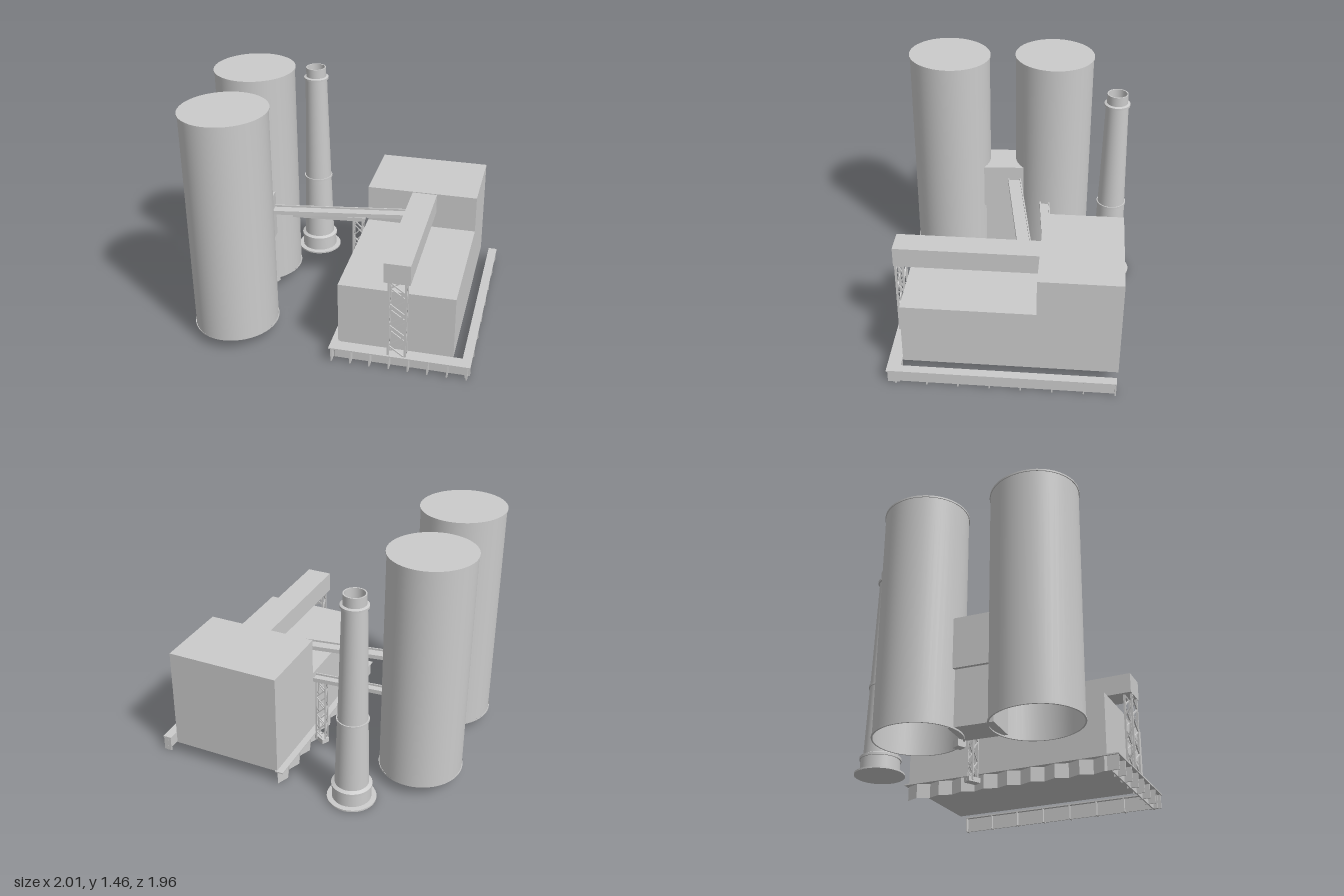
import * as THREE from 'three';

const mat = new THREE.MeshStandardMaterial({ color: 0xcccccc });
const thin = new THREE.MeshStandardMaterial({ color: 0xcccccc, side: THREE.DoubleSide });

function add(parent, name, geo, material = mat) {
  const m = new THREE.Mesh(geo, material);
  m.name = name;
  parent.add(m);
  return m;
}

// Box given by its minimum and maximum corners
function box(parent, name, x0, x1, y0, y1, z0, z1) {
  const m = add(parent, name, new THREE.BoxGeometry(x1 - x0, y1 - y0, z1 - z0));
  m.position.set((x0 + x1) / 2, (y0 + y1) / 2, (z0 + z1) / 2);
  return m;
}

// Square bar between two points
function bar(parent, name, a, b, t) {
  const p = new THREE.Vector3(...a), q = new THREE.Vector3(...b);
  const m = add(parent, name, new THREE.BoxGeometry(t, t, p.distanceTo(q)));
  m.position.copy(p).add(q).multiplyScalar(0.5);
  m.lookAt(q);
  return m;
}

// Lattice tower: four legs with zigzag bracing on each face
function latticeTower(name, w, d, y0, y1, bays, t) {
  const g = new THREE.Group();
  g.name = name;
  const c = [[-w / 2, -d / 2], [w / 2, -d / 2], [w / 2, d / 2], [-w / 2, d / 2]];
  const h = (y1 - y0) / bays;
  c.forEach(([x, z], i) => {
    const [x2, z2] = c[(i + 1) % 4];
    bar(g, 'towerLeg', [x, y0, z], [x, y1, z], t);
    for (let k = 0; k < bays; k++) {
      const a = y0 + k * h, b = a + h;
      bar(g, 'towerBrace', [x, k % 2 ? b : a, z], [x2, k % 2 ? a : b, z2], t * 0.65);
    }
  });
  return g;
}

// Storage silo: shell open below, with a flat lid and a rim at each end
function silo(x, z, rx, rz) {
  const g = new THREE.Group();
  g.name = 'silo';
  const y0 = 0.075, y1 = 1.455;
  const shell = add(g, 'siloShell', new THREE.CylinderGeometry(1, 1, y1 - y0, 48, 1, true), thin);
  shell.position.y = (y0 + y1) / 2;
  const lid = add(g, 'siloLid', new THREE.CircleGeometry(1.02, 48).rotateX(-Math.PI / 2), thin);
  lid.position.y = y1 + 0.005;
  for (const y of [y0, y1]) {
    const rim = add(g, 'siloRim', new THREE.CylinderGeometry(1.02, 1.02, 0.01, 48, 1, true), thin);
    rim.position.y = y;
    const ring = add(g, 'siloRimFace', new THREE.RingGeometry(0.985, 1.02, 48).rotateX(-Math.PI / 2), thin);
    ring.position.y = y - 0.005;
  }
  g.scale.set(rx / 1.02, 1, rz / 1.02);
  g.position.set(x, 0, z);
  return g;
}

// Conveyor bridge: thin deck with raised edges
function bridge(name, x0, z0, x1, z1, y, width) {
  const g = new THREE.Group();
  g.name = name;
  const len = Math.hypot(x1 - x0, z1 - z0), w = width / 2;
  box(g, 'bridgeDeck', -w, w, -0.006, 0.006, -len / 2, len / 2);
  for (const s of [-1, 1]) {
    const edge = box(g, 'bridgeEdge', -0.004, 0.004, -0.008, 0.018, -len / 2, len / 2);
    edge.position.x = s * (w - 0.004);
  }
  g.position.set((x0 + x1) / 2, y, (z0 + z1) / 2);
  g.rotation.y = Math.atan2(x1 - x0, z1 - z0);
  return g;
}

// Tapered chimney with foot, bands and open mouth
function chimney() {
  const g = new THREE.Group();
  g.name = 'chimney';
  const pts = [
    [0, 0.01], [0.145, 0.01], [0.145, 0.02], [0.115, 0.022], [0.113, 0.1], [0.12, 0.1], [0.12, 0.115],
    [0.1, 0.125], [0.088, 0.55], [0.094, 0.55], [0.094, 0.563], [0.087, 0.563], [0.07, 1.262],
    [0.08, 1.262], [0.08, 1.275], [0.065, 1.28], [0.065, 1.34], [0.057, 1.34], [0.057, 1.0], [0, 1.0],
  ].map(p => new THREE.Vector2(...p));
  // one lathe per section keeps the edges sharp
  for (let i = 0; i < pts.length - 1; i++) {
    add(g, 'chimneySection', new THREE.LatheGeometry([pts[i], pts[i + 1]], 32), thin);
  }
  g.position.set(-0.7, 0, -0.34);
  return g;
}

// Mill building on its skid, with the roof gallery
function mill() {
  const g = new THREE.Group();
  g.name = 'mill';
  const body = new THREE.Shape([
    [-0.58, 0.09], [0.7, 0.09], [0.7, 0.725], [0.21, 0.725], [0.21, 0.49], [-0.58, 0.49],
  ].map(p => new THREE.Vector2(...p)));
  const hall = add(g, 'steppedHall', new THREE.ExtrudeGeometry(body, { depth: 0.69, bevelEnabled: false }));
  hall.rotation.y = Math.PI / 2;
  hall.position.x = -0.01;

  box(g, 'roofGallery', 0.275, 0.43, 0.595, 0.72, -0.21, 0.655);
  const tower = latticeTower('galleryTower', 0.1, 0.045, 0.09, 0.6, 7, 0.012);
  tower.position.set(0.355, 0, 0.625);
  g.add(tower);

  // Skid: top plates, webs and gussets
  const skid = new THREE.Group();
  skid.name = 'skid';
  g.add(skid);
  box(skid, 'rightPlate', 0.735, 0.79, 0.088, 0.096, -0.69, 0.665);
  box(skid, 'frontPlate', -0.05, 0.79, 0.088, 0.096, 0.585, 0.665);
  box(skid, 'leftPlate', -0.05, 0.0, 0.088, 0.096, -0.71, 0.665);
  box(skid, 'rightWeb', 0.757, 0.765, 0, 0.09, -0.69, 0.64);
  box(skid, 'frontWeb', -0.03, 0.77, 0, 0.09, 0.605, 0.613);
  for (let i = 0; i <= 7; i++) {
    const x = -0.035 + i * 0.115, z = -0.685 + i * 0.185;
    box(skid, 'frontGusset', x - 0.004, x + 0.004, 0, 0.09, 0.59, 0.66);
    box(skid, 'rightGusset', 0.738, 0.786, 0, 0.09, z - 0.004, z + 0.004);
  }
  // Corrugated left web
  const steps = 18, dz = 1.35 / steps;
  for (let i = 0; i < steps; i++) {
    const z = -0.7 + i * dz, a = i % 2 ? -0.042 : -0.012, b = i % 2 ? -0.012 : -0.042;
    const panel = add(skid, 'leftWebPanel', new THREE.PlaneGeometry(Math.hypot(dz, b - a), 0.09), thin);
    panel.position.set((a + b) / 2, 0.045, z + dz / 2);
    panel.rotation.y = Math.atan2(-dz, b - a);
  }
  g.rotation.y = 0.49;
  return g;
}

export function createModel() {
  const model = new THREE.Group();
  model.name = 'processingPlant';
  model.add(silo(-0.753, 0.145, 0.247, 0.255), silo(-0.4, 0.715, 0.25, 0.265), chimney(), mill());

  // Link housing between the silos, with a narrower shaft below
  const link = new THREE.Group();
  link.name = 'siloLink';
  box(link, 'linkHousing', -0.12, 0.12, 0.41, 0.71, -0.15, 0.15);
  box(link, 'linkShaft', -0.1, 0.1, 0.08, 0.41, -0.13, 0.13);
  link.position.set(-0.555, 0, 0.415);
  link.rotation.y = 0.55;
  model.add(link);
  box(model, 'siloOutlet', -0.58, -0.53, 0.04, 0.08, 0.22, 0.27);

  // Conveyor bridges from the silos to the mill
  model.add(bridge('upperBridge', -0.53, 0.31, 0.18, -0.23, 0.608, 0.085));
  model.add(bridge('lowerBridge', -0.55, 0.08, -0.14, -0.19, 0.48, 0.065));
  const support = latticeTower('bridgeTower', 0.06, 0.035, 0.04, 0.48, 7, 0.009);
  support.position.set(-0.18, 0, -0.165);
  support.rotation.y = 0.49;
  model.add(support);
  box(model, 'bridgeTowerFoot', -0.22, -0.14, 0.03, 0.06, -0.19, -0.14);
  return model;
}
